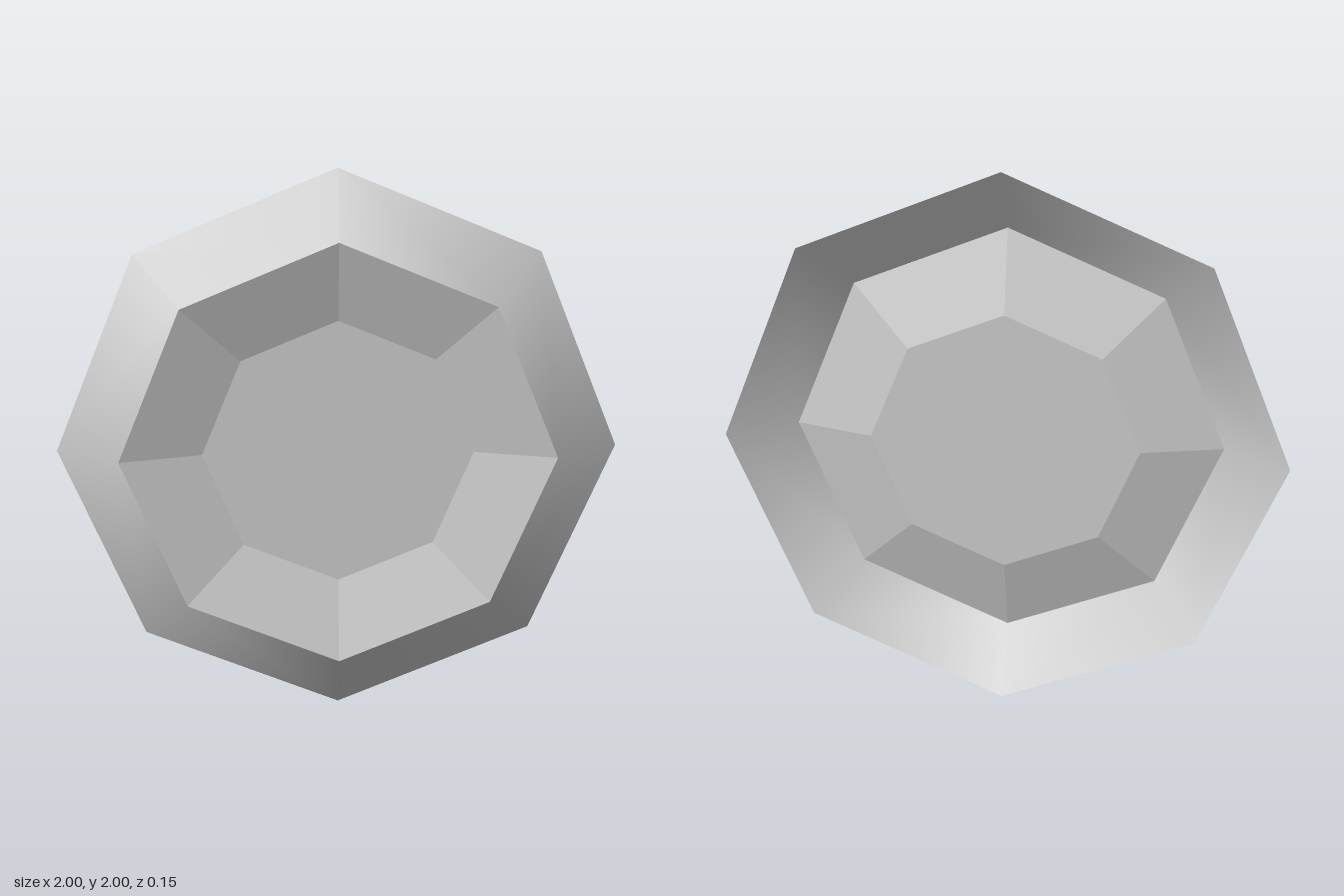
import * as THREE from 'three';

const SIDES = 8;
const HALF_DEPTH = 0.073;
const FLOOR_Z = -0.007;
const OUTER_R = 1, LIP_R = 0.77, FLOOR_R = 0.482;

// Octagonal band between two [radius, z] rings, facing +z
function band(from, to) {
  const profile = [from, to].map(([r, z]) => new THREE.Vector2(r, z));
  return new THREE.LatheGeometry(profile, SIDES).rotateX(Math.PI / 2);
}

// Split the faces so that each one is flat
function faceted(geometry) {
  const flat = geometry.toNonIndexed();
  flat.computeVertexNormals();
  return flat;
}

export function createModel() {
  const model = new THREE.Group();
  model.name = 'octagonalDish';

  const grey = new THREE.MeshStandardMaterial({ color: 0xcccccc, side: THREE.DoubleSide });
  grey.name = 'grey';

  const add = (name, geometry) => {
    const mesh = new THREE.Mesh(geometry, grey);
    mesh.name = name;
    mesh.position.y = OUTER_R;
    model.add(mesh);
  };

  // Smooth sloping rim, open at the back
  add('outerRim', band([OUTER_R, -HALF_DEPTH], [LIP_R, HALF_DEPTH]));

  // Faceted slopes running from the lip back to the floor
  add('dishSlopes', faceted(band([LIP_R, HALF_DEPTH], [FLOOR_R, FLOOR_Z])));

  // Flat floor of the dish
  add('dishFloor', new THREE.CircleGeometry(FLOOR_R, SIDES).translate(0, 0, FLOOR_Z));

  return model;
}
